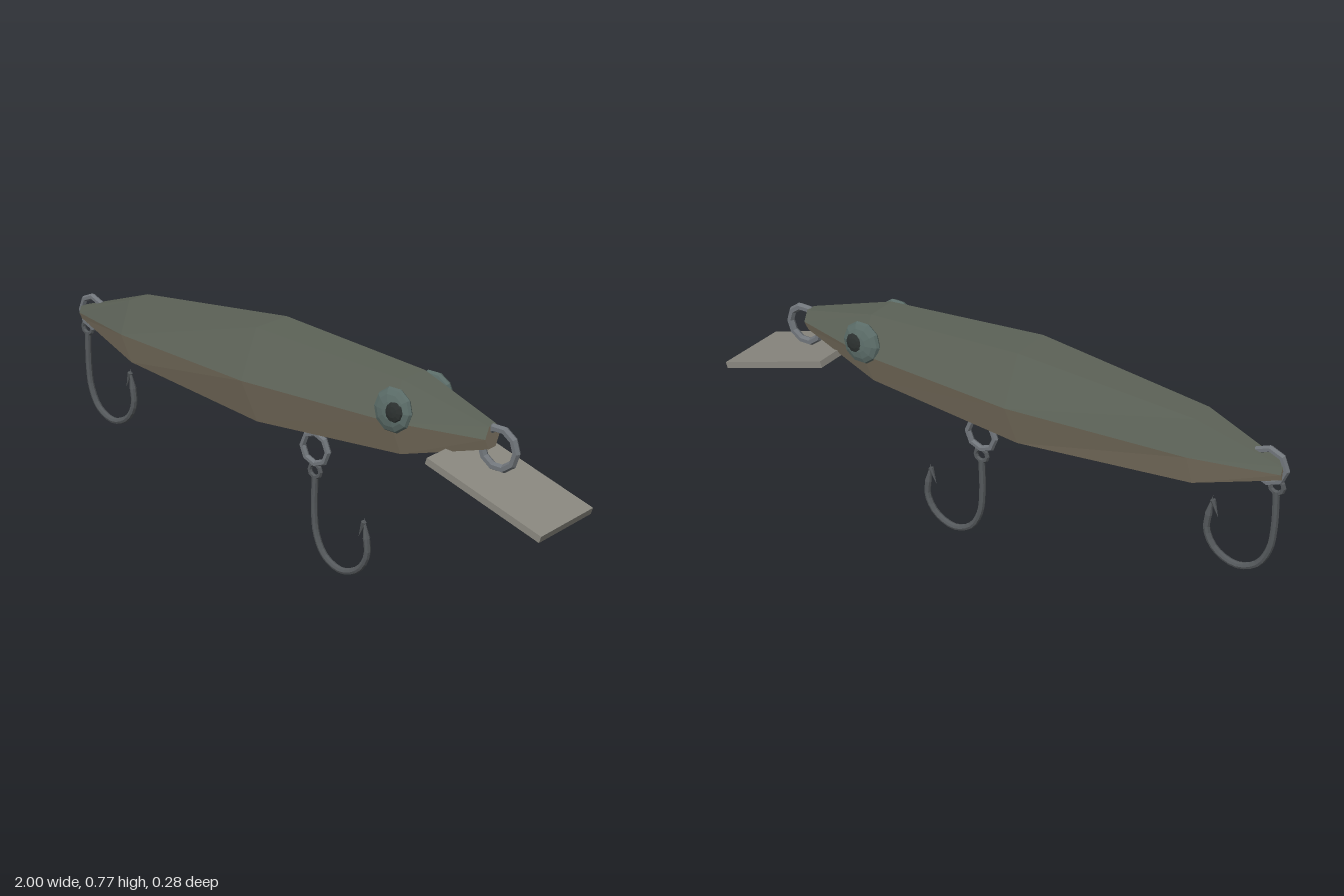
import * as THREE from 'three';

const mat = (color, extra = {}) => new THREE.MeshStandardMaterial({ color, flatShading: true, ...extra });

// Cross-sections of the six-sided body: x, half height, half width
const MID = 0.63;
const STATIONS = [
  [-0.98, 0.022, 0.02],
  [-0.71, 0.108, 0.085],
  [-0.12, 0.156, 0.142],
  [0.44, 0.118, 0.108],
  [0.73, 0.035, 0.035],
];

function section([x, h, w]) {
  return [[0, 1], [1, 0.5], [1, -0.5], [0, -1], [-1, -0.5], [-1, 0.5]]
    .map(([y, z]) => new THREE.Vector3(x, MID + y * h, z * w));
}

// Skin over the chosen sides, with optional end caps
function bodyGeometry(firstSide, capped) {
  const loops = STATIONS.map(section);
  const pts = [];
  for (let i = 0; i < loops.length - 1; i++) {
    for (let k = firstSide; k < firstSide + 3; k++) {
      const n = (k + 1) % 6;
      const a = loops[i][k], b = loops[i + 1][k], c = loops[i + 1][n], d = loops[i][n];
      pts.push(a, b, c, a, c, d);
    }
  }
  if (capped) {
    const tail = loops[0], nose = loops[loops.length - 1];
    for (let k = 1; k < 5; k++) {
      pts.push(tail[0], tail[k], tail[k + 1]);
      pts.push(nose[0], nose[k + 1], nose[k]);
    }
  }
  const g = new THREE.BufferGeometry().setFromPoints(pts);
  g.computeVertexNormals();
  return g;
}

export function createModel() {
  const model = new THREE.Group();
  model.name = 'fishingLure';

  const backMat = mat(0x5c6257);
  const bellyMat = mat(0x857b68);
  const lipMat = mat(0x8a8880);
  const ringMat = mat(0x70757a);
  const hookMat = mat(0x54585b);
  const eyeMat = mat(0x5a6b67);
  const pupilMat = mat(0x2b302f);

  const add = (parent, name, geometry, material, x = 0, y = 0, z = 0) => {
    const mesh = new THREE.Mesh(geometry, material);
    mesh.name = name;
    mesh.position.set(x, y, z);
    parent.add(mesh);
    return mesh;
  };

  // Body
  add(model, 'upperBody', bodyGeometry(0, false), backMat);
  add(model, 'lowerBody', bodyGeometry(3, true), bellyMat);

  // Diving lip under the nose
  const lip = add(model, 'divingLip', new THREE.BoxGeometry(0.424, 0.022, 0.26), lipMat, 0.794, 0.494, 0);
  lip.rotation.z = -0.302;

  // Eyes: flattened balls with a dark pupil, mirrored
  for (const side of [1, -1]) {
    const eye = new THREE.Group();
    eye.name = side > 0 ? 'leftEye' : 'rightEye';
    eye.position.set(0.445, 0.668, side * 0.1);
    eye.rotation.x = side * -0.12;
    const ball = new THREE.SphereGeometry(0.07, 10, 8).rotateX(Math.PI / 2);
    add(eye, 'eyeball', ball, eyeMat).scale.z = 0.34;
    const pupil = new THREE.SphereGeometry(0.034, 10, 6).rotateX(Math.PI / 2);
    add(eye, 'pupil', pupil, pupilMat, 0.015, 0, side * 0.016).scale.z = 0.35;
    model.add(eye);
  }

  // Rings
  const ring = (name, x, y, radius, tube, sides) =>
    add(model, name, new THREE.TorusGeometry(radius, tube, 6, sides), ringMat, x, y, 0);
  ring('noseRing', 0.754, 0.6, 0.062, 0.013, 10);
  ring('bellyRing', 0.06, 0.41, 0.052, 0.011, 8);
  ring('tailRing', -0.932, 0.637, 0.056, 0.011, 8);

  // Hook: eyelet, bent wire, point and barb
  const makeHook = (name, x, y) => {
    const hook = new THREE.Group();
    hook.name = name;
    hook.position.set(x, y, 0);
    const path = new THREE.CatmullRomCurve3([
      [0.06, 0.32], [0.057, 0.2], [0.067, 0.115], [0.103, 0.05], [0.17, 0.022],
      [0.24, 0.05], [0.274, 0.11], [0.27, 0.168],
    ].map(([px, py]) => new THREE.Vector3(px, py, 0)));
    add(hook, 'wire', new THREE.TubeGeometry(path, 24, 0.011, 8, false), hookMat);
    add(hook, 'eyelet', new THREE.TorusGeometry(0.022, 0.008, 6, 10), hookMat, 0.06, 0.335);
    const point = add(hook, 'point', new THREE.ConeGeometry(0.012, 0.07, 8), hookMat, 0.265, 0.199);
    point.rotation.z = 0.16;
    const barb = add(hook, 'barb', new THREE.ConeGeometry(0.009, 0.06, 6), hookMat, 0.249, 0.19);
    barb.rotation.z = Math.PI - 0.36;
    model.add(hook);
  };
  makeHook('bellyHook', 0, 0);
  makeHook('tailHook', -1.022, 0.242);

  return model;
}
